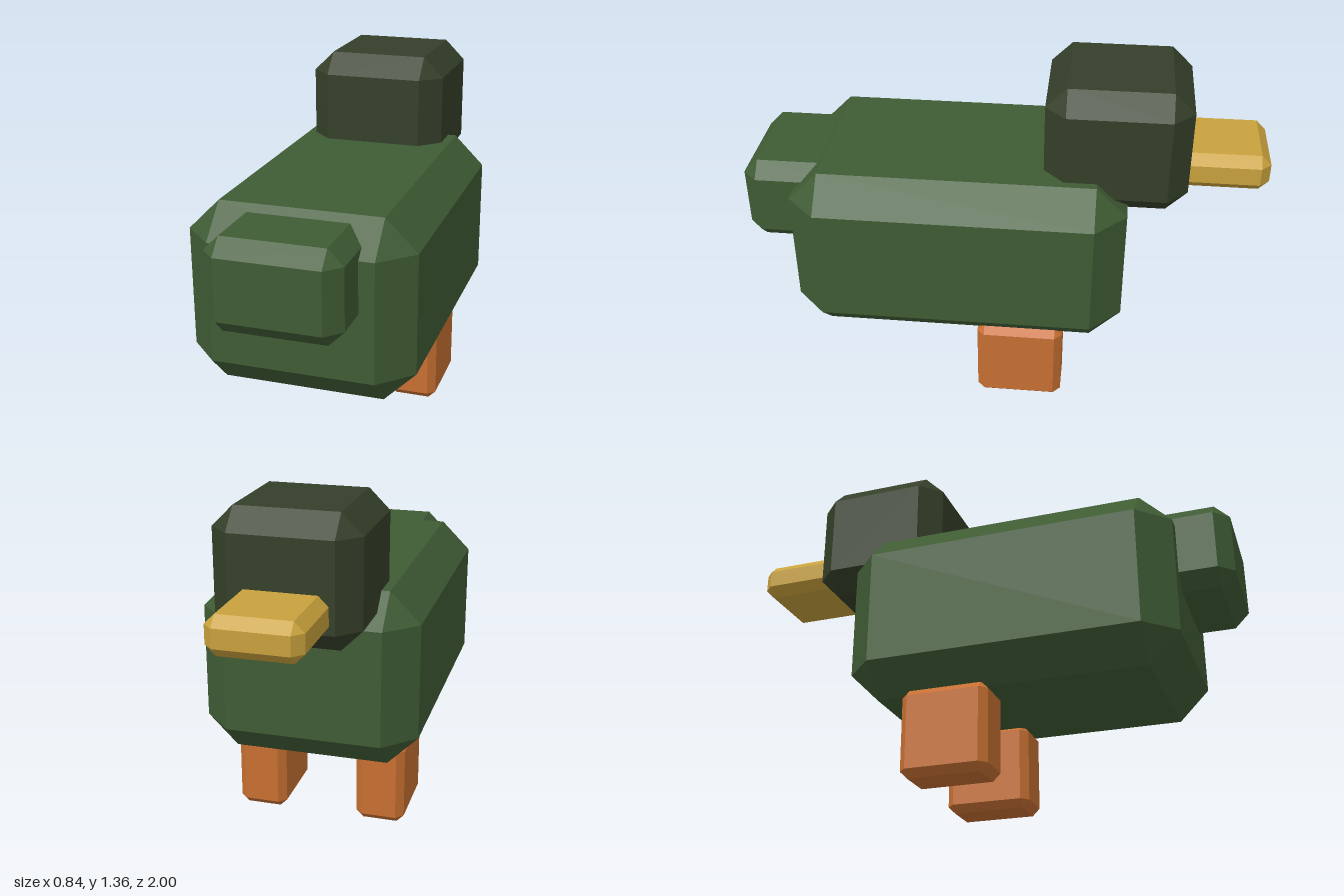
import * as THREE from 'three';
import { ConvexGeometry } from 'three/addons/geometries/ConvexGeometry.js';

const material = (color) => new THREE.MeshStandardMaterial({ color, flatShading: true });

// Box between two corners, all edges cut by a flat bevel and corners by a triangle
function bevelBox(name, min, max, bevel, mat) {
  const half = max.map((v, i) => (v - min[i]) / 2);
  const points = [];
  for (const sx of [-1, 1]) for (const sy of [-1, 1]) for (const sz of [-1, 1]) {
    for (let axis = 0; axis < 3; axis++) {
      const [x, y, z] = half.map((h, i) => (i === axis ? h : h - bevel));
      points.push(new THREE.Vector3(sx * x, sy * y, sz * z));
    }
  }
  const mesh = new THREE.Mesh(new ConvexGeometry(points), mat);
  mesh.position.set(...max.map((v, i) => (v + min[i]) / 2));
  mesh.name = name;
  return mesh;
}

export function createModel() {
  const group = new THREE.Group();
  group.name = 'duck';
  const green = material(0x3f5c34);
  const darkGreen = material(0x353f29);
  const yellow = material(0xc9a23d);
  const orange = material(0xc87032);

  // Body and tail
  group.add(bevelBox('body', [-0.42, 0.325, -0.48], [0.42, 1.012, 0.8], 0.118, green));
  group.add(bevelBox('tail', [-0.245, 0.645, 0.56], [0.245, 0.987, 1], 0.057, green));

  // Head and beak
  group.add(bevelBox('head', [-0.27, 0.868, -0.7], [0.27, 1.358, -0.16], 0.079, darkGreen));
  group.add(bevelBox('beak', [-0.17, 0.943, -1], [0.17, 1.087, -0.62], 0.037, yellow));

  // Legs, mirrored
  for (const [name, side] of [['leftLeg', 1], ['rightLeg', -1]]) {
    const x = side * 0.245;
    group.add(bevelBox(name, [x - 0.098, 0, -0.255], [x + 0.098, 0.343, 0.085], 0.029, orange));
  }
  return group;
}
